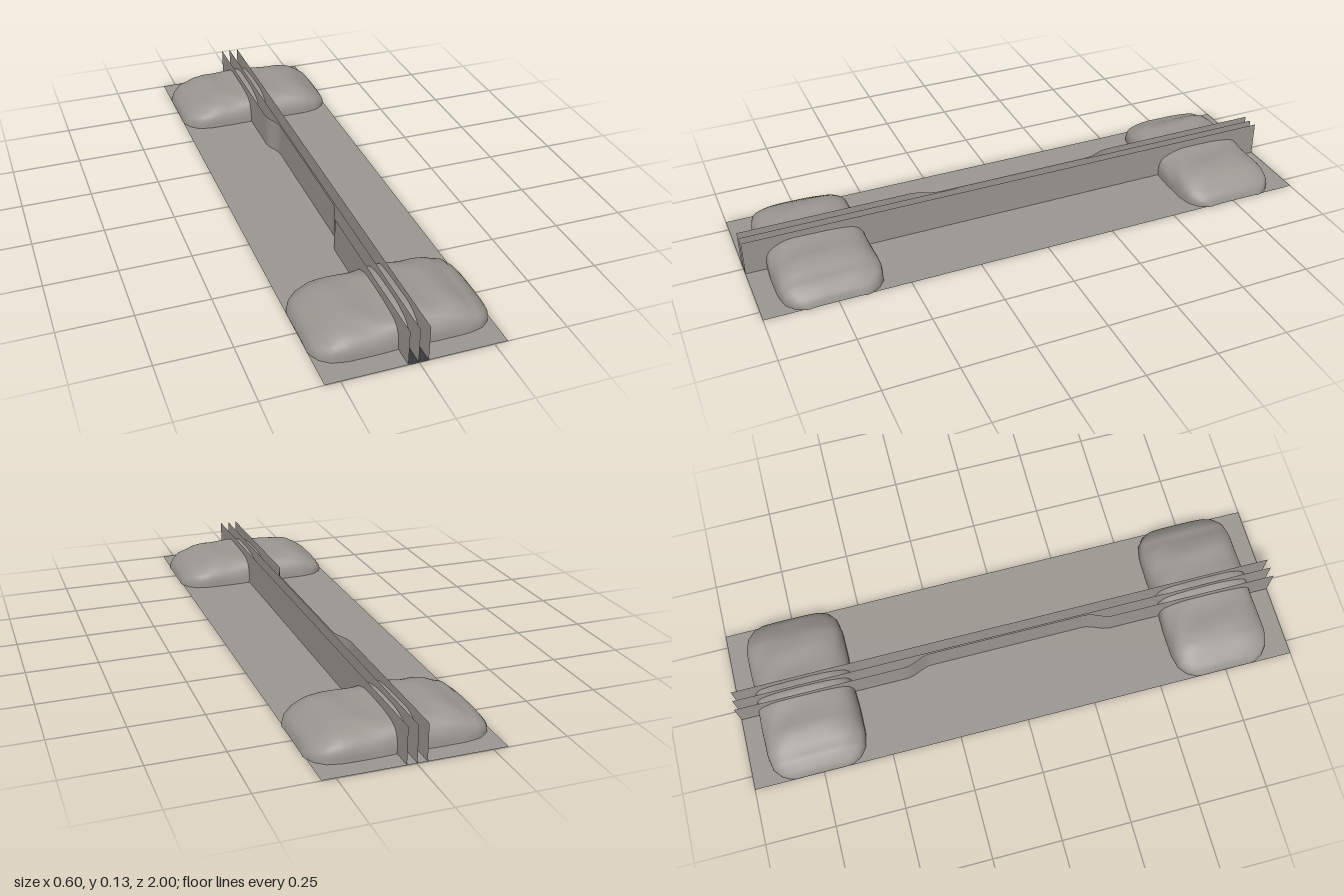
import * as THREE from 'three';

const stone = new THREE.MeshStandardMaterial({ color: 0x9a9791, side: THREE.DoubleSide });
stone.name = 'stone grey';
const dark = new THREE.MeshStandardMaterial({ color: 0x383838, side: THREE.DoubleSide });
dark.name = 'dark track';

// Piecewise linear lookup in a list of [x, value]
function lookup(table, x) {
  if (x <= table[0][0]) return table[0][1];
  for (let i = 1; i < table.length; i++) {
    const [x0, v0] = table[i - 1], [x1, v1] = table[i];
    if (x <= x1) return v0 + (v1 - v0) * (x - x0) / (x1 - x0);
  }
  return table[table.length - 1][1];
}

// Grid of points joined into a smooth surface; point(i, j) returns [x, y, z]
function gridSurface(nu, nv, point) {
  const pos = [], index = [];
  for (let i = 0; i <= nu; i++) for (let j = 0; j <= nv; j++) pos.push(...point(i, j));
  for (let i = 0; i < nu; i++) for (let j = 0; j < nv; j++) {
    const a = i * (nv + 1) + j, b = a + nv + 1;
    index.push(a, b, a + 1, b, b + 1, a + 1);
  }
  const g = new THREE.BufferGeometry();
  g.setAttribute('position', new THREE.Float32BufferAttribute(pos, 3));
  g.setIndex(index);
  g.computeVertexNormals();
  return g;
}

function add(parent, name, geometry, material) {
  const mesh = new THREE.Mesh(geometry, material);
  mesh.name = name;
  parent.add(mesh);
  return mesh;
}

// Ridge height, half depth and tunnel arch as functions of x
const HEIGHT = [[-0.3, 0.004], [-0.295, 0.022], [-0.28, 0.042], [-0.24, 0.066], [-0.21, 0.081], [-0.16, 0.09],
  [-0.08, 0.091], [-0.03, 0.097], [0.01, 0.104], [0.05, 0.1], [0.1, 0.094], [0.15, 0.095], [0.19, 0.086],
  [0.22, 0.073], [0.25, 0.065], [0.28, 0.042], [0.295, 0.024], [0.3, 0.004]];
const DEPTH = [[0, 0.174], [0.1, 0.179], [0.2, 0.178], [0.25, 0.167], [0.28, 0.143], [0.295, 0.115], [0.3, 0.095]];
const ARCH = [[0, 0.043], [0.014, 0.042], [0.023, 0.035], [0.03, 0.018], [0.034, 0]];

const half = [0.007, 0.014, 0.019, 0.023, 0.027, 0.03, 0.034, 0.05, 0.07, 0.09, 0.11, 0.13, 0.15, 0.17,
  0.19, 0.205, 0.22, 0.235, 0.25, 0.265, 0.28, 0.288, 0.295, 0.3];
const stations = [...half.map(x => -x).reverse(), 0, ...half];

// Lumpy mound with an arched tunnel running along z
function makeMound(name) {
  const group = new THREE.Group();
  group.name = name;
  const N = 40;
  add(group, 'moundShell', gridSurface(stations.length - 1, N, (i, j) => {
    const x = stations[i], ax = Math.abs(x);
    const h = lookup(HEIGHT, x), d = lookup(DEPTH, ax);
    const start = Math.asin(Math.pow(lookup(ARCH, ax) / h, 1 / 0.7));
    const u = start + (Math.PI - 2 * start) * j / N;
    const s = Math.max(0, Math.sin(u)), c = Math.cos(u);
    const lump = Math.sin(x * 31 + u * 2.3) * Math.sin(u * 4 + x * 13);
    const y = h * Math.pow(s, 0.7) * (1 + 0.035 * lump * s);
    const z = Math.sign(c) * d * Math.pow(Math.abs(c), 0.5) * (1 + 0.03 * Math.sin(x * 27 + u * 3) * s);
    return [x, y, z];
  }), stone);

  // Tunnel lining
  const inner = stations.filter(x => Math.abs(x) <= 0.034);
  add(group, 'tunnelLining', gridSurface(inner.length - 1, 1, (i, j) =>
    [inner[i], lookup(ARCH, Math.abs(inner[i])), j ? -0.172 : 0.172]), stone);
  return group;
}

// Upright sheet following x = path(z)
function wallSheet(path) {
  const n = 100;
  return gridSurface(n, 1, (i, j) => {
    const z = 1 - 2 * i / n;
    return [path(z), j ? 0.126 : 0, z];
  });
}

// Left sheet steps inwards over the middle stretch
const stepPath = z => -0.007 - 0.028 * THREE.MathUtils.smoothstep(Math.abs(z), 0.29, 0.385);

export function createModel() {
  const model = new THREE.Group();
  model.name = 'barrierWithMounds';

  // Ground sheet
  const floor = new THREE.PlaneGeometry(0.595, 2).rotateX(-Math.PI / 2);
  add(model, 'floor', floor.translate(-0.0025, 0.001, 0), stone);

  // Dark track, top and bottom faces either side of the ground sheet
  const n = 75;
  for (const y of [0, 0.002]) {
    add(model, y ? 'trackTop' : 'trackUnderside', gridSurface(1, n, (i, j) => {
      const z = 1 - 1.5 * j / n;
      const left = y ? Math.min(0, stepPath(z) + 0.004) : -0.033;
      return [i ? 0.03 : left, y, z];
    }), dark);
  }

  // Three thin parallel walls
  add(model, 'steppedWall', wallSheet(stepPath), stone);
  add(model, 'middleWall', wallSheet(() => -0.002), stone);
  add(model, 'outerWall', wallSheet(() => 0.031), stone);

  // Mounds at both ends
  const front = makeMound('frontMound');
  front.position.z = 0.75;
  const back = makeMound('backMound');
  back.position.z = -0.755;
  back.rotation.y = Math.PI;
  model.add(front, back);
  return model;
}
